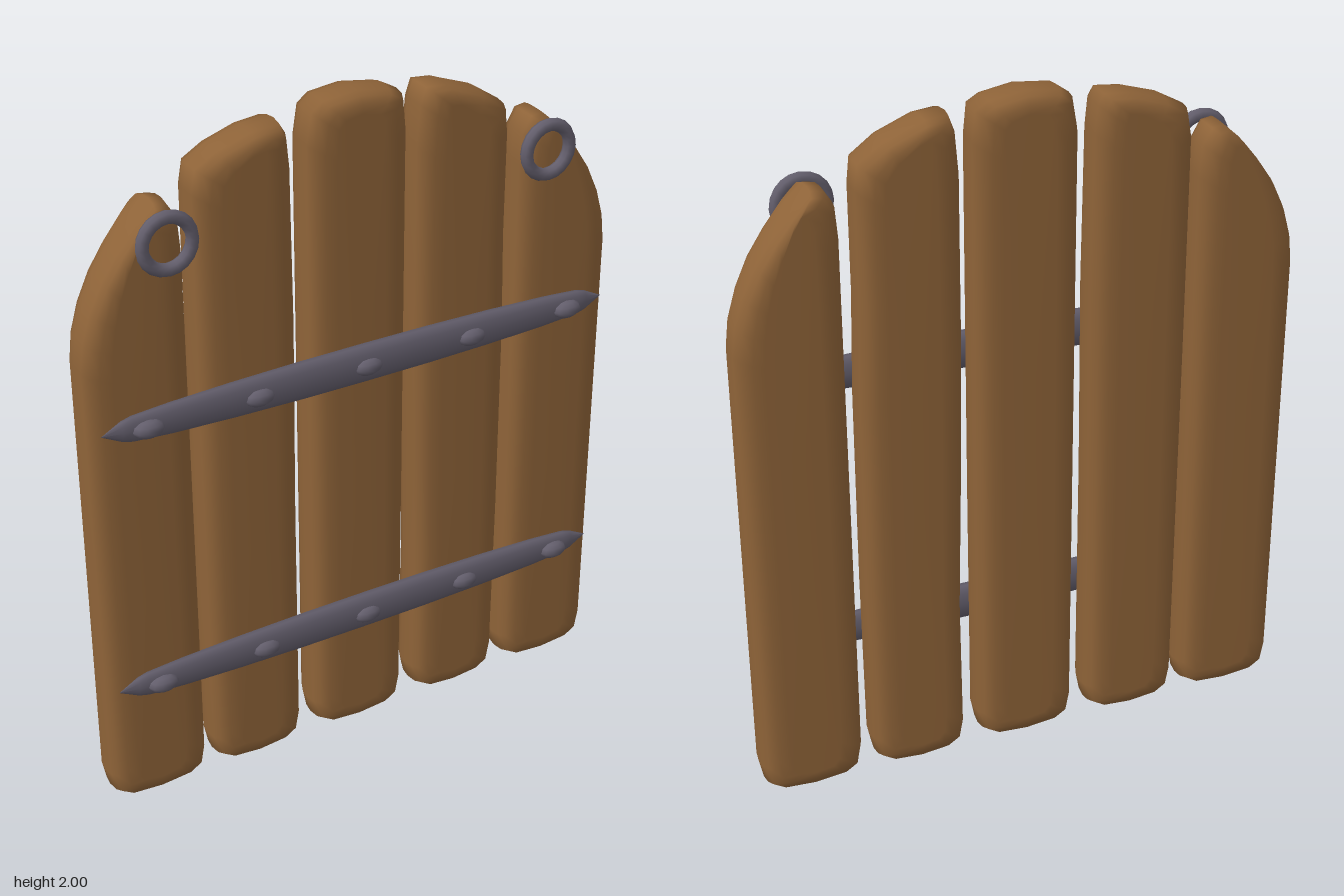
import * as THREE from 'three';

const wood = new THREE.MeshStandardMaterial({ color: 0x8e6338 });
wood.name = 'wood';
const iron = new THREE.MeshStandardMaterial({ color: 0x635e6c });
iron.name = 'iron';

// Plank thickness profile: [z, inset of the outline], back to front
const LEVELS = [[-0.1, 0.075], [-0.098, 0.045], [-0.088, 0.014], [-0.06, 0.003], [-0.03, 0],
  [0.005, 0.004], [0.028, 0.014], [0.038, 0.042], [0.041, 0.075]];

// Rounded board lofted from a counter-clockwise outline
function plankGeometry(outline) {
  const xs = outline.map((p) => p[0]), ys = outline.map((p) => p[1]);
  const x0 = Math.min(...xs), x1 = Math.max(...xs), y0 = Math.min(...ys), y1 = Math.max(...ys);
  const cx = (x0 + x1) / 2, cy = (y0 + y1) / 2;
  const n = outline.length, pos = [], idx = [];
  for (const [z, inset] of LEVELS) {
    const sx = 1 - inset / ((x1 - x0) / 2), sy = 1 - inset * 0.7 / ((y1 - y0) / 2);
    for (const [x, y] of outline) pos.push(cx + (x - cx) * sx, cy + (y - cy) * sy, z);
  }
  const last = LEVELS.length - 1, back = n * LEVELS.length, front = back + 1;
  pos.push(cx, cy, LEVELS[0][0], cx, cy, LEVELS[last][0]);
  for (let j = 0; j < n; j++) {
    const k = (j + 1) % n;
    for (let i = 0; i < last; i++) {
      const a = i * n + j, b = i * n + k;
      idx.push(a, b, b + n, a, b + n, a + n);
    }
    idx.push(back, k, j, front, last * n + j, last * n + k);
  }
  const g = new THREE.BufferGeometry();
  g.setAttribute('position', new THREE.Float32BufferAttribute(pos, 3));
  g.setIndex(idx);
  g.computeVertexNormals();
  return g;
}

// Worn bottom edge shared by all boards
const bottom = (l, r) => [[l, 0.09], [l + 0.012, 0.03], [l + 0.05, 0.008], [(l + r) / 2, 0],
  [r - 0.05, 0.008], [r - 0.012, 0.03], [r, 0.09]];
const mirror = (pts) => pts.map(([x, y]) => [-x, y]).reverse();

const outer = [...bottom(0.505, 0.805), [0.805, 0.8], [0.805, 1.4], [0.795, 1.48], [0.77, 1.56],
  [0.73, 1.64], [0.68, 1.71], [0.62, 1.78], [0.575, 1.82], [0.54, 1.815], [0.512, 1.77],
  [0.505, 1.68], [0.505, 0.8]];
const innerLeft = [...bottom(0.19, 0.472), [0.475, 0.6], [0.472, 1.2], [0.463, 1.5], [0.463, 1.8],
  [0.455, 1.87], [0.38, 1.92], [0.27, 1.96], [0.205, 1.966], [0.188, 1.92], [0.178, 1.8],
  [0.178, 1.3], [0.185, 0.9], [0.195, 0.5]];
const innerRight = [...bottom(-0.48, -0.195), [-0.195, 0.8], [-0.19, 1.4], [-0.195, 1.85],
  [-0.203, 1.93], [-0.22, 1.958], [-0.3, 1.95], [-0.4, 1.92], [-0.465, 1.885], [-0.478, 1.82],
  [-0.48, 1.2], [-0.48, 0.6]];
const middle = [...bottom(-0.15, 0.147), [0.148, 0.8], [0.147, 1.88], [0.138, 1.965], [0.1, 1.985],
  [0, 2], [-0.1, 1.99], [-0.135, 1.965], [-0.15, 1.88], [-0.15, 0.8]];

// Flattened iron strap with pointed ends, centred on its own origin
function strapGeometry() {
  const half = [[0.058, 0], [0.057, 0.2], [0.053, 0.4], [0.046, 0.58], [0.038, 0.69], [0.03, 0.72], [0, 0.777]];
  const profile = [...half.slice(1).reverse().map(([r, x]) => [r, -x]), ...half];
  const g = new THREE.LatheGeometry(profile.map(([r, x]) => new THREE.Vector2(r, x)), 10);
  g.rotateZ(-Math.PI / 2);
  g.scale(1, 1, 0.42);
  return g;
}

function createModel() {
  const root = new THREE.Group();
  root.name = 'plankPanel';
  const add = (parent, name, geometry, material, x = 0, y = 0, z = 0) => {
    const mesh = new THREE.Mesh(geometry, material);
    mesh.name = name;
    mesh.position.set(x, y, z);
    parent.add(mesh);
    return mesh;
  };

  // Boards
  const boards = { outerPlankRight: mirror(outer), innerPlankRight: innerRight, middlePlank: middle,
    innerPlankLeft: innerLeft, outerPlankLeft: outer };
  for (const [name, outline] of Object.entries(boards)) add(root, name, plankGeometry(outline), wood);

  // Iron straps with hammered rivets
  const strap = strapGeometry();
  const rivet = new THREE.SphereGeometry(1, 10, 6);
  for (const [name, y] of [['upperStrap', 1.234], ['lowerStrap', 0.412]]) {
    const group = new THREE.Group();
    group.name = name;
    group.position.set(-0.003, y, 0.057);
    add(group, 'strap', strap, iron);
    for (const x of [-0.65, -0.33, 0, 0.33, 0.65]) {
      add(group, 'rivet', rivet, iron, x, -0.004, 0.015).scale.set(0.045, 0.026, 0.027);
    }
    root.add(group);
  }

  // Iron rings at the top corners
  const ring = new THREE.TorusGeometry(0.069, 0.018, 8, 20);
  for (const [name, x] of [['ringRight', -0.57], ['ringLeft', 0.563]]) {
    add(root, name, ring, iron, x, 1.732, 0.061).scale.y = 1.04;
  }
  return root;
}

export { createModel };
